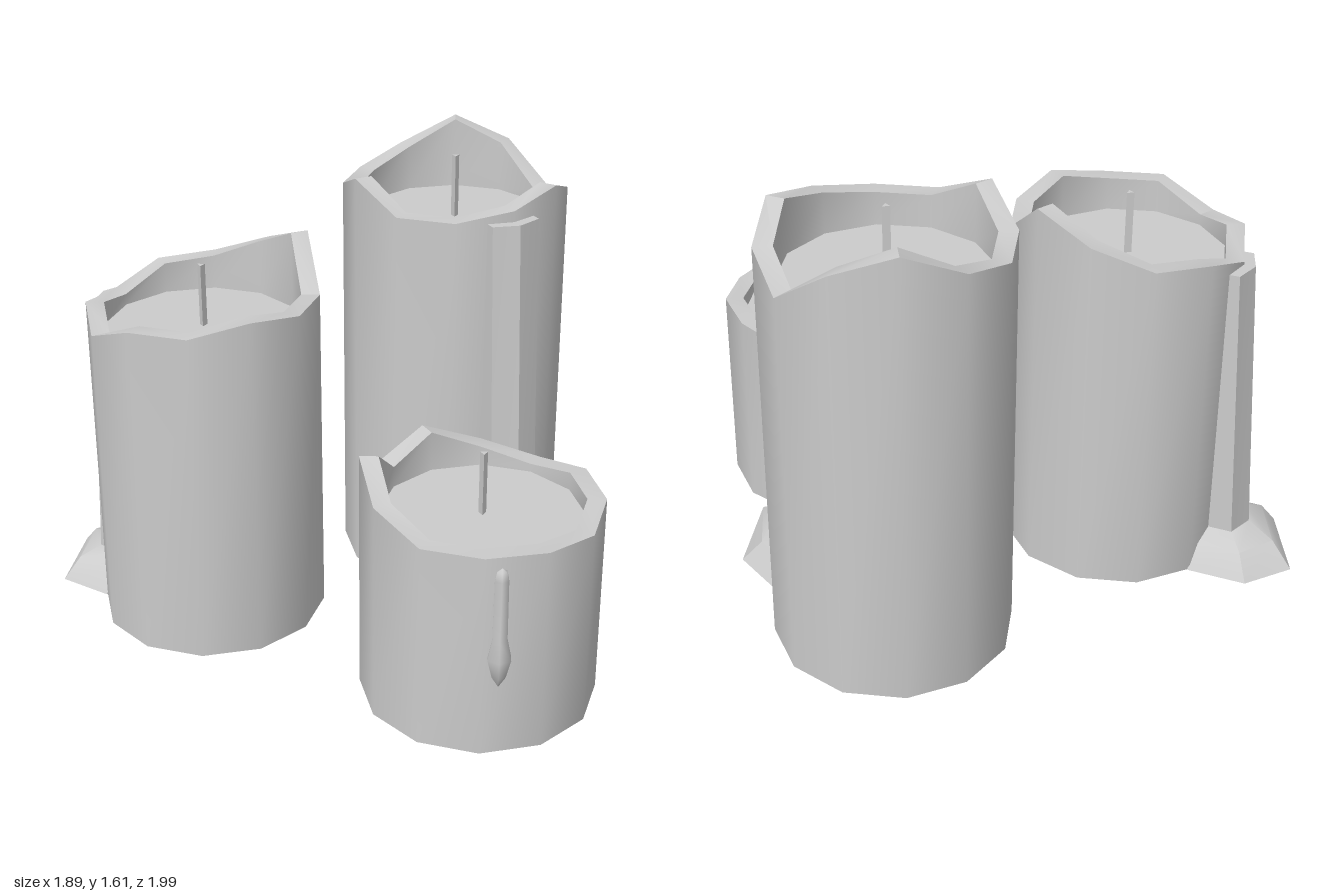
import * as THREE from 'three';
import { toCreasedNormals } from 'three/addons/utils/BufferGeometryUtils.js';

const SIDES = 12;
const OUTER = 0.41;
const INNER = 0.345;
const material = new THREE.MeshStandardMaterial({ color: 0xcccccc, side: THREE.DoubleSide });

function addMesh(parent, name, geometry) {
  const mesh = new THREE.Mesh(geometry, material);
  mesh.name = name;
  parent.add(mesh);
  return mesh;
}

// Skin a list of equal-length rings ([x, y, z] points running from +x towards +z, or the like)
function loft(rings, capEnd = false) {
  const n = rings[0].length;
  const index = [];
  for (let r = 0; r < rings.length - 1; r++) {
    for (let i = 0; i < n; i++) {
      const j = (i + 1) % n;
      const a = r * n + i, b = r * n + j, c = a + n, d = b + n;
      index.push(a, c, b, b, c, d);
    }
  }
  if (capEnd) {
    const s = (rings.length - 1) * n;
    for (let i = 1; i < n - 1; i++) index.push(s, s + i + 1, s + i);
  }
  const geometry = new THREE.BufferGeometry();
  geometry.setAttribute('position', new THREE.Float32BufferAttribute(rings.flat(2), 3));
  geometry.setIndex(index);
  return toCreasedNormals(geometry, 0.6);
}

// Ring of points; height is a number or a list with one value per corner
function ring(radius, height) {
  return Array.from({ length: SIDES }, (_, i) => {
    const a = (i / SIDES) * Math.PI * 2;
    const y = Array.isArray(height) ? height[i] : height;
    return [radius * Math.cos(a), y, radius * Math.sin(a)];
  });
}

// Hollow candle with an uneven melted rim, a wax pool and a three-sided wick
function makeCandle(name, x, z, rim, waxY, wickTop) {
  const candle = new THREE.Group();
  candle.name = name;
  candle.position.set(x, 0, z);
  addMesh(candle, 'candleShell',
    loft([ring(OUTER, 0), ring(OUTER, rim), ring(INNER, rim), ring(INNER, waxY)]));

  const pool = addMesh(candle, 'waxPool', new THREE.CircleGeometry(INNER, SIDES));
  pool.rotation.x = -Math.PI / 2;
  pool.position.y = waxY;

  const wickHeight = wickTop - waxY;
  const wick = addMesh(candle, 'wick',
    toCreasedNormals(new THREE.CylinderGeometry(0.015, 0.015, wickHeight, 3), 0.5));
  wick.rotation.y = Math.PI / 2;
  wick.position.y = waxY + wickHeight / 2;
  return candle;
}

// Wax run with a spread foot: levels are [y, half width, side depth, tip depth, tip shift]
function makeWaxRun(candle, angle, levels) {
  const rings = levels.map(([y, w, side, tip, shift]) => [
    [w, y, OUTER - 0.06],
    [w, y, OUTER + side],
    [shift, y, OUTER + tip],
    [-w, y, OUTER + side],
    [-w, y, OUTER - 0.06],
  ]);
  const run = addMesh(candle, 'waxRun', loft(rings, true));
  run.rotation.y = angle;
}

export function createModel() {
  const model = new THREE.Group();
  model.name = 'candles';

  // Rim heights run from +x round by the front
  const tall = makeCandle('tallCandle', 0.52, -0.37,
    [1.39, 1.46, 1.535, 1.49, 1.46, 1.46, 1.55, 1.465, 1.46, 1.51, 1.605, 1.53], 1.345, 1.575);
  const middle = makeCandle('middleCandle', -0.49, -0.37,
    [1.39, 1.23, 1.235, 1.27, 1.23, 1.23, 1.15, 1.19, 1.15, 1.22, 1.235, 1.31], 1.11, 1.335);
  const short = makeCandle('shortCandle', 0.09, 0.58,
    [0.74, 0.735, 0.715, 0.735, 0.74, 0.74, 0.8, 0.88, 0.75, 0.82, 0.745, 0.705], 0.675, 0.9);

  // Long wax runs with feet
  makeWaxRun(tall, 0, [
    [0, 0.235, 0.2, 0.435, 0],
    [0.085, 0.18, 0.15, 0.31, 0],
    [0.115, 0.094, 0.07, 0.11, 0],
    [1.45, 0.094, 0.01, 0.04, 0],
  ]);
  makeWaxRun(middle, Math.PI * 7 / 6, [
    [0, 0.215, 0.15, 0.28, -0.07],
    [0.085, 0.16, 0.11, 0.2, -0.04],
    [0.12, 0.094, 0.06, 0.1, 0],
    [1.14, 0.094, 0.01, 0.04, 0],
  ]);

  // Small teardrop on the short candle
  const profile = [[0, 0.255], [0.026, 0.3], [0.044, 0.37], [0.028, 0.44],
    [0.026, 0.66], [0.018, 0.69], [0, 0.7]].map(([r, y]) => new THREE.Vector2(r, y));
  const drop = addMesh(short, 'waxDrop', new THREE.LatheGeometry(profile, 6));
  drop.position.set(-0.15, 0, 0.37);
  drop.rotation.y = Math.PI / 6;

  model.add(tall, middle, short);
  return model;
}
